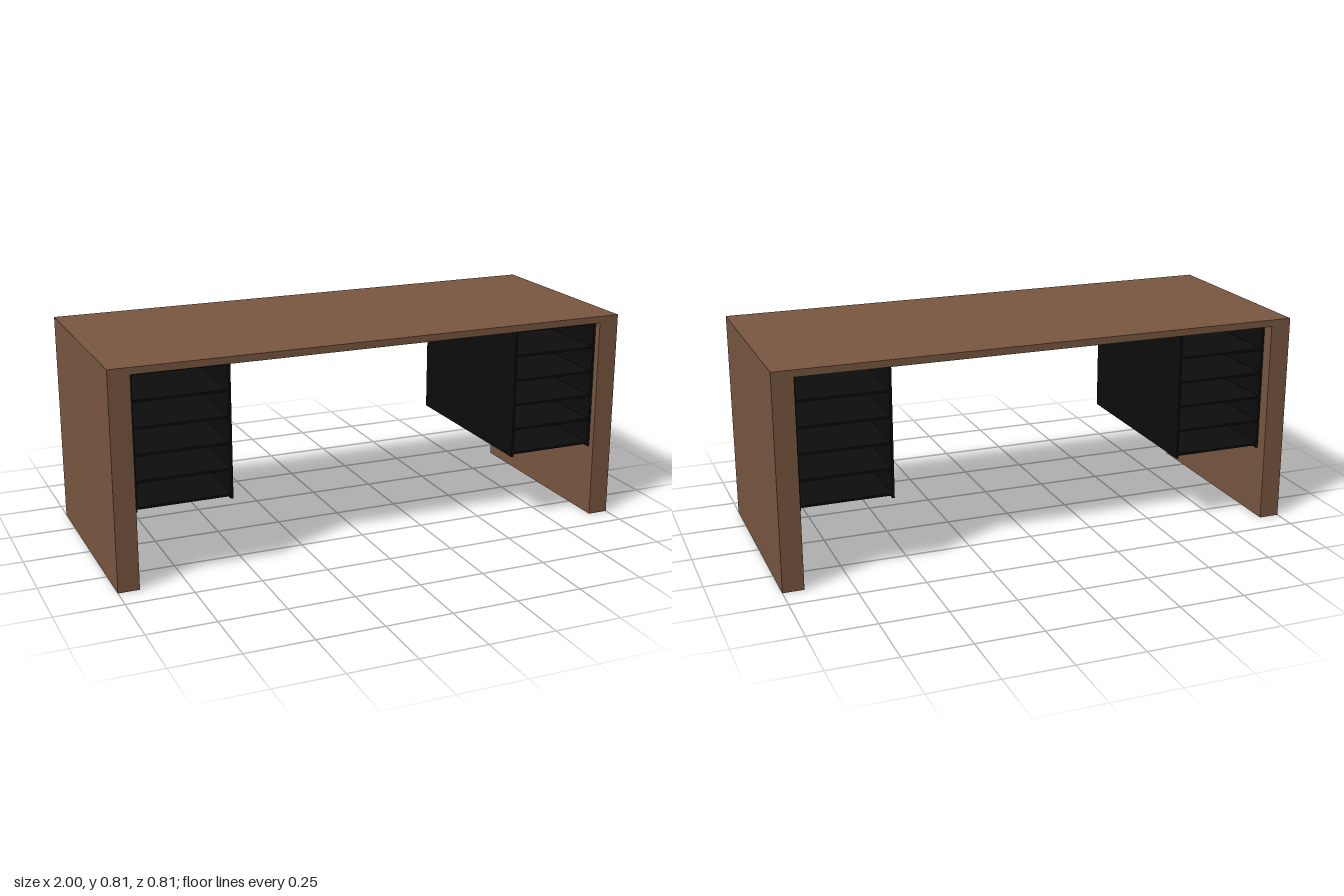
import * as THREE from 'three';

export function createModel() {
  const wood = new THREE.MeshStandardMaterial({ color: 0x7a5741 });
  wood.name = 'brown wood';
  const black = new THREE.MeshStandardMaterial({ color: 0x0d0d0d });
  black.name = 'black metal';

  const desk = new THREE.Group();
  desk.name = 'desk';

  // box given by its minimum and maximum corners
  function box(parent, name, material, [x0, y0, z0], [x1, y1, z1]) {
    const mesh = new THREE.Mesh(new THREE.BoxGeometry(x1 - x0, y1 - y0, z1 - z0), material);
    mesh.position.set((x0 + x1) / 2, (y0 + y1) / 2, (z0 + z1) / 2);
    mesh.name = name;
    parent.add(mesh);
    return mesh;
  }

  // table top resting on two slab legs
  const depth = 0.403;
  box(desk, 'tableTop', wood, [-1, 0.782, -depth], [1, 0.808, depth]);
  box(desk, 'rightLeg', wood, [-1, 0, -depth], [-0.921, 0.782, depth]);
  box(desk, 'leftLeg', wood, [0.921, 0, -depth], [1, 0.782, depth]);

  // open rack: two side panels and six evenly spaced shelves
  function rack(name, x0, x1) {
    const group = new THREE.Group();
    group.name = name;
    const back = -0.355, front = 0.38, t = 0.009;
    box(group, 'sidePanel', black, [x0, 0.28, back], [x0 + t, 0.781, front]);
    box(group, 'sidePanel', black, [x1 - t, 0.28, back], [x1, 0.781, front]);
    for (let i = 0; i < 6; i++) {
      const y = 0.29 + i * 0.0966;
      box(group, 'shelf', black, [x0 + t, y, back], [x1 - t, y + 0.008, front]);
    }
    desk.add(group);
  }
  rack('rightRack', -0.92, -0.561);
  rack('leftRack', 0.568, 0.918);

  return desk;
}
